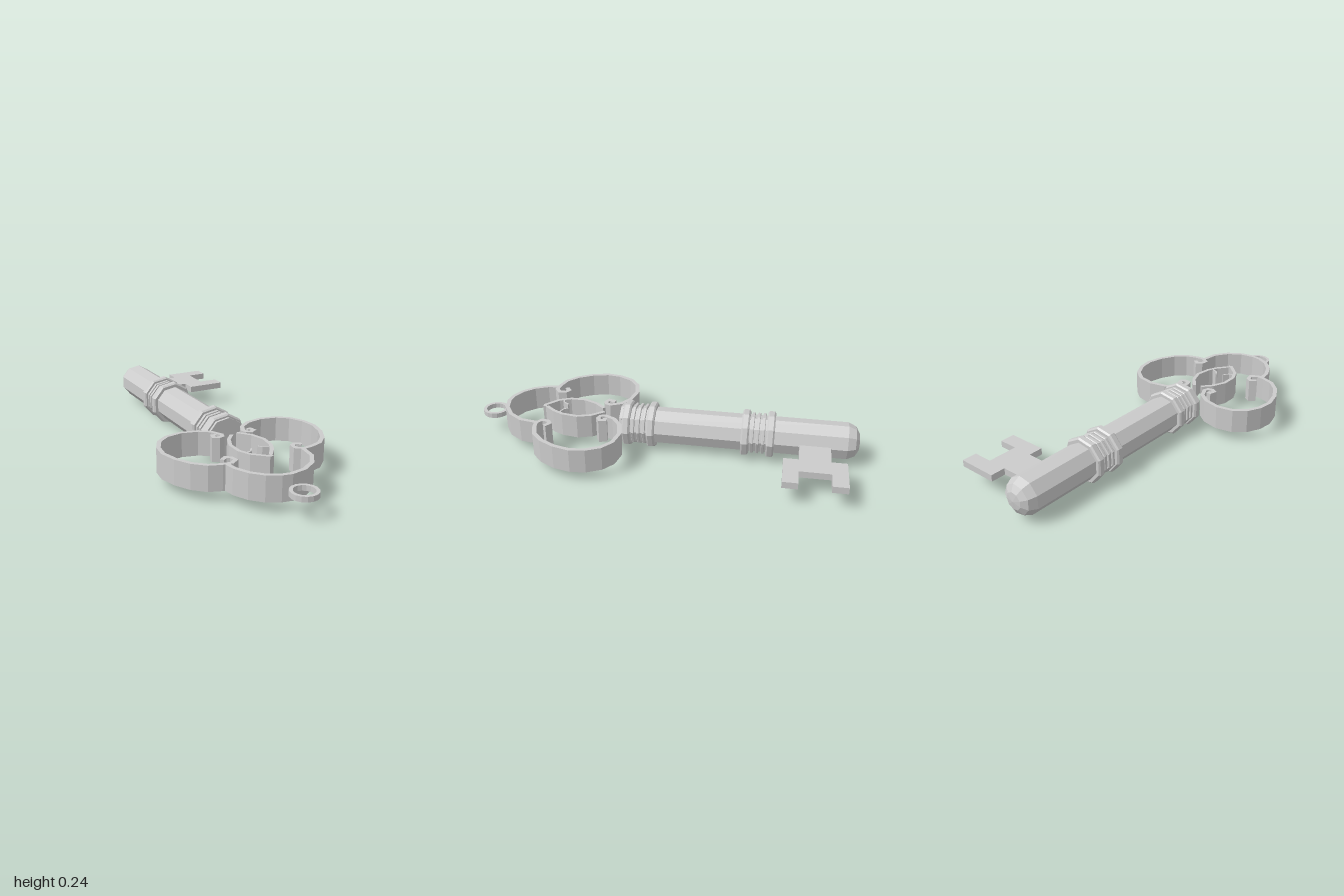
import * as THREE from 'three';

const AXIS_Y = 0.122;
const SIDES = 9;

export function createModel() {
  const group = new THREE.Group();
  const material = new THREE.MeshStandardMaterial({ color: 0xcccccc, flatShading: true });

  const add = (name, geometry) => {
    const mesh = new THREE.Mesh(geometry, material);
    mesh.name = name;
    group.add(mesh);
    return mesh;
  };

  // Nine-sided turned part along z; profile points are [radius, z] from back to front
  const turned = (name, profile) => {
    const pts = profile.map(([r, z]) => new THREE.Vector2(r, z));
    const geo = new THREE.LatheGeometry(pts, SIDES, Math.PI / 2).rotateX(Math.PI / 2);
    add(name, geo).position.set(0.003, AXIS_Y, 0);
  };

  // Flat plan shape (x, -z) raised from y0 to y1
  const raised = (name, shape, y0, y1, curveSegments = 12) => {
    const geo = new THREE.ExtrudeGeometry(shape, { depth: y1 - y0, bevelEnabled: false, curveSegments });
    add(name, geo.rotateX(-Math.PI / 2).translate(0, y0, 0));
  };

  // Upright strip of constant thickness following a plan path of [x, z] points
  const strip = (name, path, width = 0.021) => {
    const p = path.map(([x, z]) => new THREE.Vector2(x, -z));
    const left = [], right = [];
    p.forEach((c, i) => {
      const a = p[Math.max(i - 1, 0)], b = p[Math.min(i + 1, p.length - 1)];
      const d0 = (i ? c.clone().sub(a) : b.clone().sub(c)).normalize();
      const d1 = (i < p.length - 1 ? b.clone().sub(c) : d0.clone()).normalize();
      const t = d0.clone().add(d1).normalize();
      const h = width / 2 / Math.max(t.dot(d1), 0.7);
      left.push(new THREE.Vector2(c.x - t.y * h, c.y + t.x * h));
      right.push(new THREE.Vector2(c.x + t.y * h, c.y - t.x * h));
    });
    raised(name, new THREE.Shape([...left, ...right.reverse()]), 0.055, 0.18);
  };

  // Shaft with rounded tip
  turned('shaft', [
    [0, -1], [0.045, -0.994], [0.078, -0.975], [0.096, -0.935],
    [0.096, 0.21], [0.104, 0.21], [0.104, 0.224], [0, 0.224],
  ]);

  // Two collars, each a pair of thick rings with three thin rings between
  const ring = (name, z, half, r, chamfer) => turned(name, [
    [0.09, z - half], [r - chamfer, z - half], [r, z - half + chamfer],
    [r, z + half - chamfer], [r - chamfer, z + half], [0.09, z + half],
  ]);
  [['rear', -0.488], ['front', 0.124]].forEach(([end, z]) => {
    [-0.064, 0.064].forEach(d => ring(end + 'CollarRing', z + d, 0.02, 0.12, 0.008));
    [-0.028, 0, 0.028].forEach(d => ring(end + 'CollarGroove', z + d, 0.008, 0.107, 0.003));
  });

  // Toothed bit
  const bit = [
    [0.06, -0.853], [0.228, -0.853], [0.228, -0.93], [0.434, -0.93], [0.434, -0.853], [0.333, -0.853],
    [0.333, -0.698], [0.434, -0.698], [0.434, -0.622], [0.228, -0.622], [0.228, -0.698], [0.06, -0.698],
  ];
  raised('bit', new THREE.Shape(bit.map(([x, z]) => new THREE.Vector2(x, -z))), 0.096, 0.13);

  // Side lobes of the bow with curled ends
  const lobe = [
    [0.085, 0.3], [0.105, 0.297], [0.112, 0.322], [0.09, 0.335], [0.068, 0.328], [0.06, 0.305],
    [0.085, 0.252], [0.14, 0.212], [0.225, 0.193], [0.31, 0.21], [0.367, 0.255], [0.402, 0.325],
    [0.412, 0.4], [0.391, 0.485], [0.35, 0.56], [0.295, 0.612], [0.235, 0.632], [0.19, 0.638],
    [0.158, 0.615], [0.163, 0.582], [0.185, 0.568], [0.212, 0.588],
  ];
  [['left', 1], ['right', -1]].forEach(([side, s]) => {
    strip(side + 'Lobe', lobe.map(([x, z]) => [s * x - 0.008, z]));
  });

  // Lower bowl of the bow
  const bowl = [
    [-0.22, 0.63], [-0.212, 0.695], [-0.18, 0.765], [-0.13, 0.818], [-0.07, 0.848], [-0.025, 0.855],
    [0.05, 0.84], [0.12, 0.795], [0.168, 0.725], [0.182, 0.635],
  ];
  strip('bowl', bowl.map(([x, z]) => [x - 0.005, z]));

  // Pointed leaf in the middle, with two small inner curls
  strip('leafRight', [[-0.026, 0.33], [-0.07, 0.38], [-0.1, 0.45], [-0.1, 0.53], [-0.073, 0.59], [-0.01, 0.648], [0.008, 0.645]], 0.018);
  strip('leafLeft', [[0.01, 0.318], [0.06, 0.38], [0.082, 0.45], [0.07, 0.53], [0.045, 0.582], [0.003, 0.635]], 0.018);
  strip('leafCurlRight', [[-0.083, 0.565], [-0.055, 0.558], [-0.034, 0.528]], 0.008);
  strip('leafCurlLeft', [[0.006, 0.518], [0.02, 0.538], [0.048, 0.55]], 0.008);

  // Small hanging ring at the end
  const loop = new THREE.Shape().absarc(-0.016, -0.932, 0.067, 0, Math.PI * 2);
  loop.holes.push(new THREE.Path().absarc(-0.016, -0.932, 0.05, 0, Math.PI * 2, true));
  raised('hangingRing', loop, 0.104, 0.13, 8);

  return group;
}
